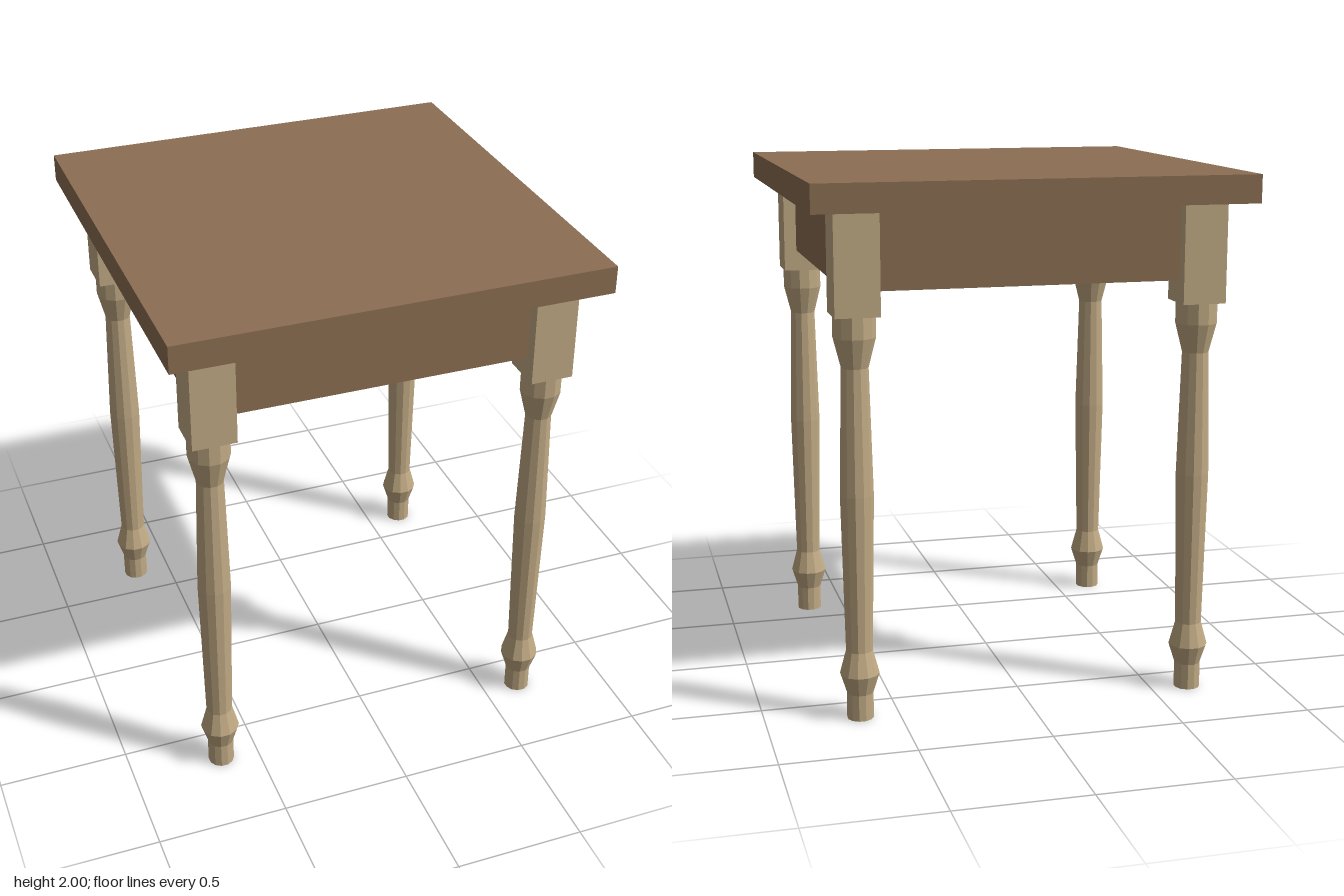
import * as THREE from 'three';

const LEG = 0.647;   // leg centre offset
const BLOCK = 0.165; // square leg block width
const TOP_Y = 1.895; // underside of the top

export function createModel() {
  const model = new THREE.Group();
  model.name = 'squareTable';

  const darkWood = new THREE.MeshStandardMaterial({ color: 0x8c6f53 });
  darkWood.name = 'darkWood';
  const paleWood = new THREE.MeshStandardMaterial({ color: 0xc2ab85 });
  paleWood.name = 'paleWood';

  const add = (parent, name, geometry, material, x, y, z) => {
    const mesh = new THREE.Mesh(geometry, material);
    mesh.name = name;
    mesh.position.set(x, y, z);
    parent.add(mesh);
    return mesh;
  };
  const box = (w, y0, y1, d) => new THREE.BoxGeometry(w, y1 - y0, d).translate(0, (y0 + y1) / 2, 0);

  // Table top
  add(model, 'tableTop', box(1.64, TOP_Y, 2, 1.64), darkWood, 0, 0, 0);

  // Aprons, running between the leg blocks
  const apron = box(2 * LEG - BLOCK, 1.605, TOP_Y, 0.065);
  ['frontApron', 'leftApron', 'backApron', 'rightApron'].forEach((name, i) => {
    const a = i * Math.PI / 2;
    add(model, name, apron, darkWood, Math.sin(a) * LEG, 0, Math.cos(a) * LEG).rotation.y = a;
  });

  // Turned leg profile: foot, ring, swelling shaft, collar
  const profile = [
    [0, 0], [0.05, 0], [0.05, 0.1], [0.074, 0.175], [0.05, 0.265],
    [0.062, 0.86], [0.05, 1.33], [0.078, 1.44], [0.078, 1.52],
  ].map(([r, y]) => new THREE.Vector2(r, y));
  const turning = new THREE.LatheGeometry(profile, 12, Math.PI / 12).toNonIndexed();
  turning.computeVertexNormals(); // faceted sides
  const block = box(BLOCK, 1.52, TOP_Y, BLOCK);

  // Four legs
  for (const [sx, side] of [[1, 'Left'], [-1, 'Right']]) {
    for (const [sz, end] of [[1, 'front'], [-1, 'back']]) {
      const leg = new THREE.Group();
      leg.name = `${end}${side}Leg`;
      leg.position.set(sx * LEG, 0, sz * LEG);
      add(leg, 'legBlock', block, paleWood, 0, 0, 0);
      add(leg, 'turnedLeg', turning, paleWood, 0, 0, 0);
      model.add(leg);
    }
  }
  return model;
}
